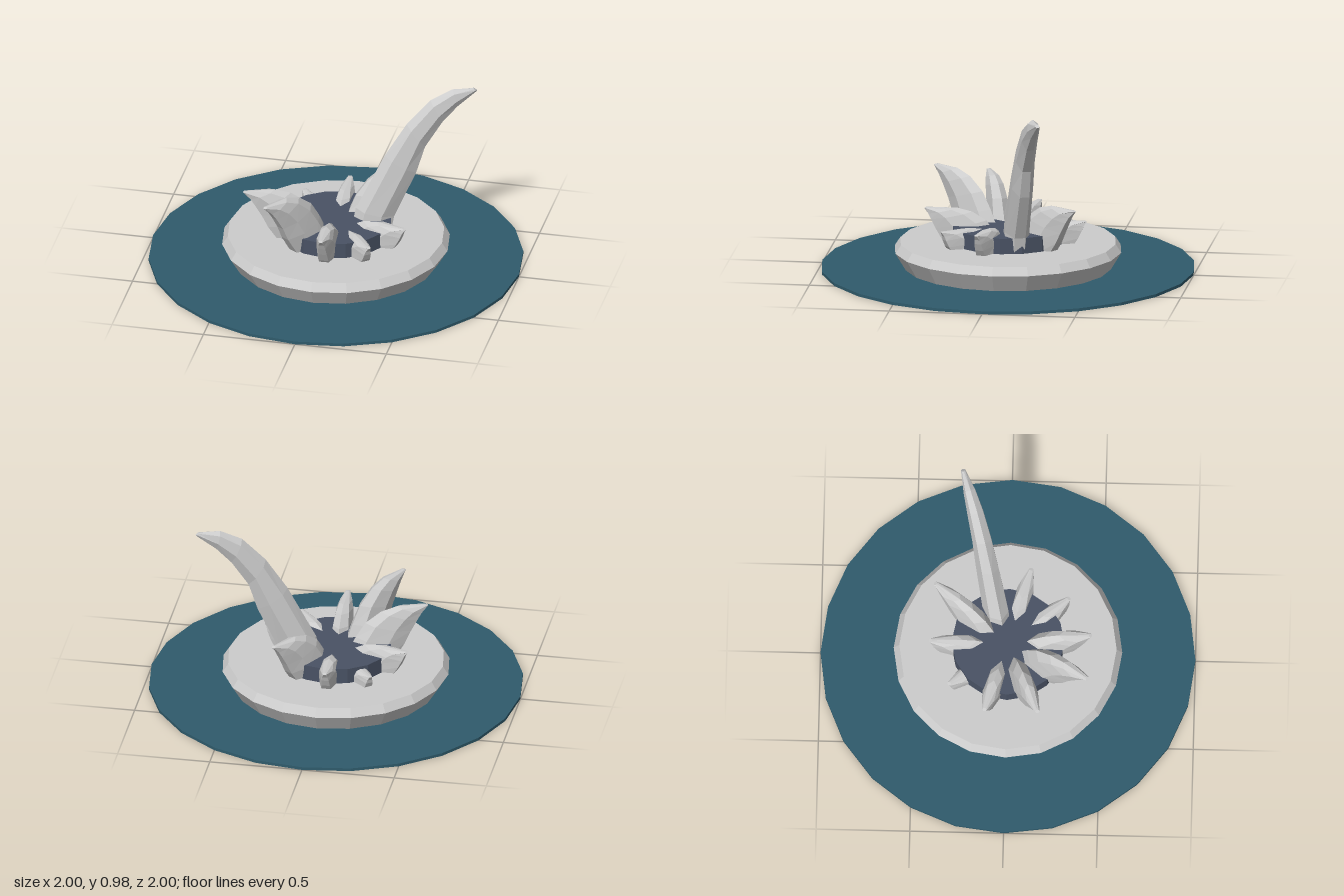
import * as THREE from 'three';

const SIDES = 7;
// Rings of a curved rock: inner edge and outer edge as [r offset, r per height, y fraction], then half width
const RINGS = [
  [[-0.03, 0.08, 0.0], [0.26, 0.0, 0.0], 0.07],
  [[-0.02, 0.13, 0.3], [0.28, 0.03, 0.25], 0.068],
  [[-0.02, 0.29, 0.615], [0.32, 0.11, 0.51], 0.06],
  [[-0.02, 0.41, 0.8], [0.34, 0.14, 0.667], 0.053],
  [[0.03, 0.49, 0.94], [0.33, 0.245, 0.81], 0.045],
  [[0.09, 0.55, 1.0], [0.31, 0.35, 0.9], 0.034],
  [[0.275, 0.475, 1.0], [0.29, 0.48, 0.985], 0.012],
];

// Rock that rises from the island and bends outward along the given angle
function curvedRock(height, angle) {
  const pos = [], index = [];
  const ca = Math.cos(angle), sa = Math.sin(angle);
  for (const [inner, outer, width] of RINGS) {
    const edge = ([a, b, f]) => [a + b * height, f * height];
    const [ri, yi] = edge(inner), [ro, yo] = edge(outer);
    for (let k = 0; k < SIDES; k++) {
      const th = (k / SIDES) * Math.PI * 2;
      const far = Math.cos(Math.PI / SIDES);
      const u = (1 - Math.cos(th)) / (1 + far); // 0 at inner edge, 1 at flat outer face
      const r = ri + (ro - ri) * u, y = yi + (yo - yi) * u;
      const s = Math.sin(th) * width;
      pos.push(r * ca - s * sa, y, r * sa + s * ca);
    }
  }
  for (let j = 0; j < RINGS.length - 1; j++) {
    for (let k = 0; k < SIDES; k++) {
      const a = j * SIDES + k, b = j * SIDES + (k + 1) % SIDES;
      index.push(a, b, b + SIDES, a, b + SIDES, a + SIDES);
    }
  }
  // Small cap on the tip
  const last = (RINGS.length - 1) * SIDES;
  for (let k = 1; k < SIDES - 1; k++) index.push(last, last + k, last + k + 1);
  const g = new THREE.BufferGeometry();
  g.setAttribute('position', new THREE.Float32BufferAttribute(pos, 3));
  g.setIndex(index);
  const flat = g.toNonIndexed();
  flat.computeVertexNormals();
  return flat;
}

export function createModel() {
  const group = new THREE.Group();
  const paint = (color) => new THREE.MeshStandardMaterial({ color, flatShading: true });
  const stone = paint(0xcccccc);
  const add = (name, geometry, material, y = 0) => {
    const mesh = new THREE.Mesh(geometry, material);
    mesh.name = name;
    mesh.position.y = y;
    group.add(mesh);
  };

  // Flat water disc
  add('water', new THREE.CylinderGeometry(1, 1, 0.016, 24), paint(0x2f5b6c), 0.008);

  // Island slab with a bevelled rim
  const profile = [[0, 0.01], [0.55, 0.01], [0.61, 0.11], [0.58, 0.155], [0, 0.155]];
  add('island', new THREE.LatheGeometry(profile.map(([x, y]) => new THREE.Vector2(x, y)), 20), stone);

  // Dark core inside the ring of rocks
  add('core', new THREE.CylinderGeometry(0.3, 0.3, 0.14, 16), paint(0x495264), 0.17);

  // Ring of ten rocks, one much taller than the rest
  const heights = [0.975, 0.28, 0.255, 0.33, 0.495, 0.435, 0.29, 0.225, 0.275, 0.4];
  heights.forEach((h, i) => {
    const angle = THREE.MathUtils.degToRad(-20 + 36 * i);
    add(i === 0 ? 'tallRock' : `rock${i}`, curvedRock(h, angle), stone);
  });
  return group;
}
